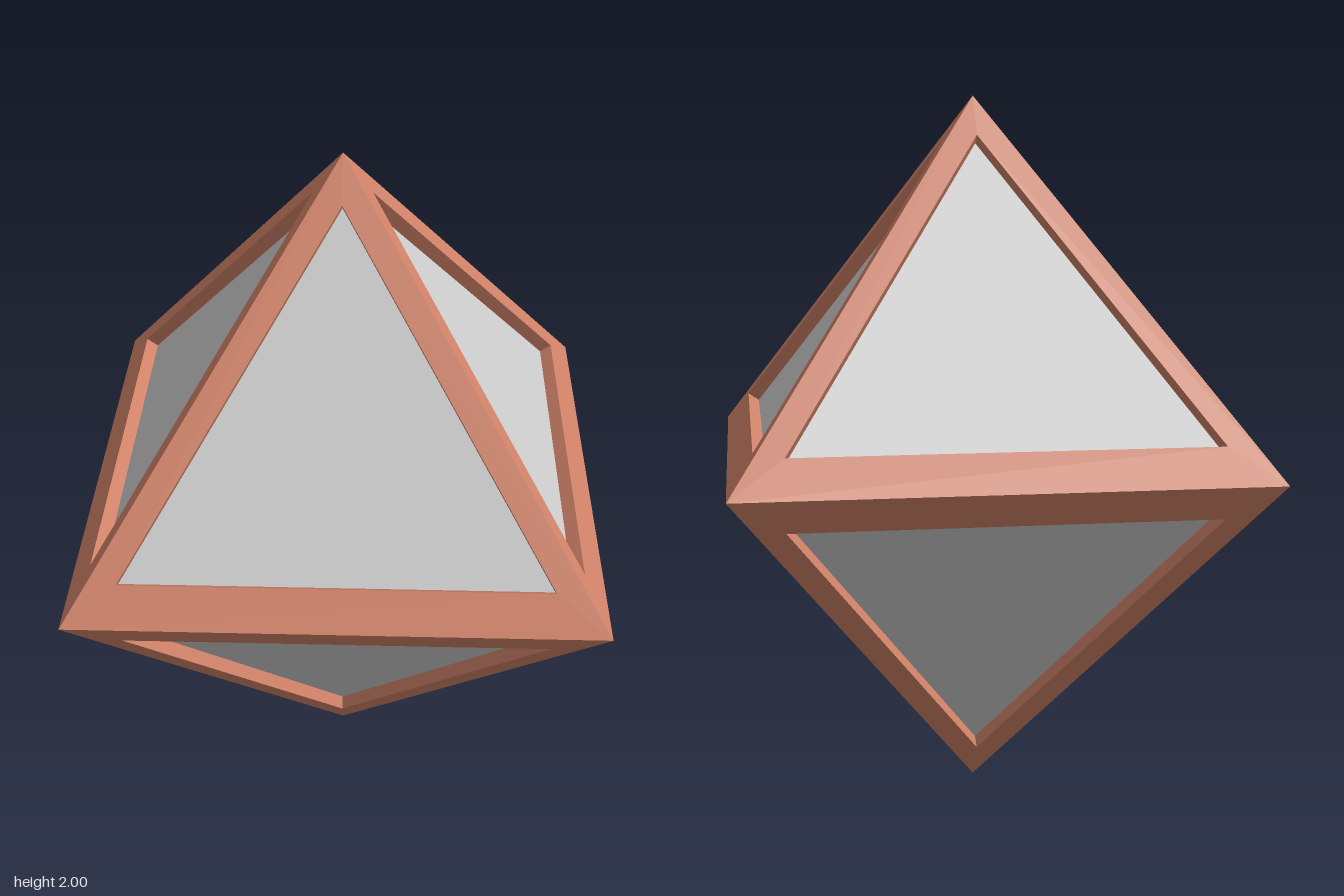
import * as THREE from 'three';

const SINK = 0.0225;                 // per-axis inward shift of the recessed panels
const MARGIN = [0.055, 0.095, 0.055]; // window inset from the x, y and z planes

// Frame round one octant's face: flat rim plus the walls of its window
function faceFrame(signs) {
  const outer = [], rim = [], floor = [];
  for (let i = 0; i < 3; i++) {
    const tip = [0, 0, 0], corner = [...MARGIN];
    tip[i] = 1;
    corner[i] = 1 - MARGIN[(i + 1) % 3] - MARGIN[(i + 2) % 3];
    outer.push(tip);
    rim.push(corner);
    floor.push(corner.map(v => v - SINK));
  }
  const positions = [];
  const mirrored = signs[0] * signs[1] * signs[2] < 0;
  const triangle = (a, b, c) => {
    for (const p of mirrored ? [a, c, b] : [a, b, c]) positions.push(...p.map((v, k) => v * signs[k]));
  };
  const band = (from, to) => {
    for (let i = 0; i < 3; i++) {
      const j = (i + 1) % 3;
      triangle(from[i], from[j], to[j]);
      triangle(from[i], to[j], to[i]);
    }
  };
  band(outer, rim);
  band(rim, floor);
  const geometry = new THREE.BufferGeometry();
  geometry.setAttribute('position', new THREE.Float32BufferAttribute(positions, 3));
  geometry.computeVertexNormals();
  return geometry;
}

export function createModel() {
  const model = new THREE.Group();
  model.name = 'framedOctahedron';
  const copper = new THREE.MeshStandardMaterial({ color: 0xd08268, flatShading: true });
  const grey = new THREE.MeshStandardMaterial({ color: 0xcccccc, flatShading: true });

  // Inner core, seen through the windows as recessed panels
  const core = new THREE.Mesh(new THREE.OctahedronGeometry(1 - 3 * SINK), grey);
  core.name = 'panelCore';
  core.position.y = 1;
  model.add(core);

  // Eight mirrored face frames
  const frame = new THREE.Group();
  frame.name = 'frame';
  frame.position.y = 1;
  for (const x of [1, -1]) for (const y of [1, -1]) for (const z of [1, -1]) {
    const mesh = new THREE.Mesh(faceFrame([x, y, z]), copper);
    mesh.name = `${y > 0 ? 'upper' : 'lower'}${z > 0 ? 'Front' : 'Back'}${x > 0 ? 'Left' : 'Right'}Frame`;
    frame.add(mesh);
  }
  model.add(frame);
  return model;
}
